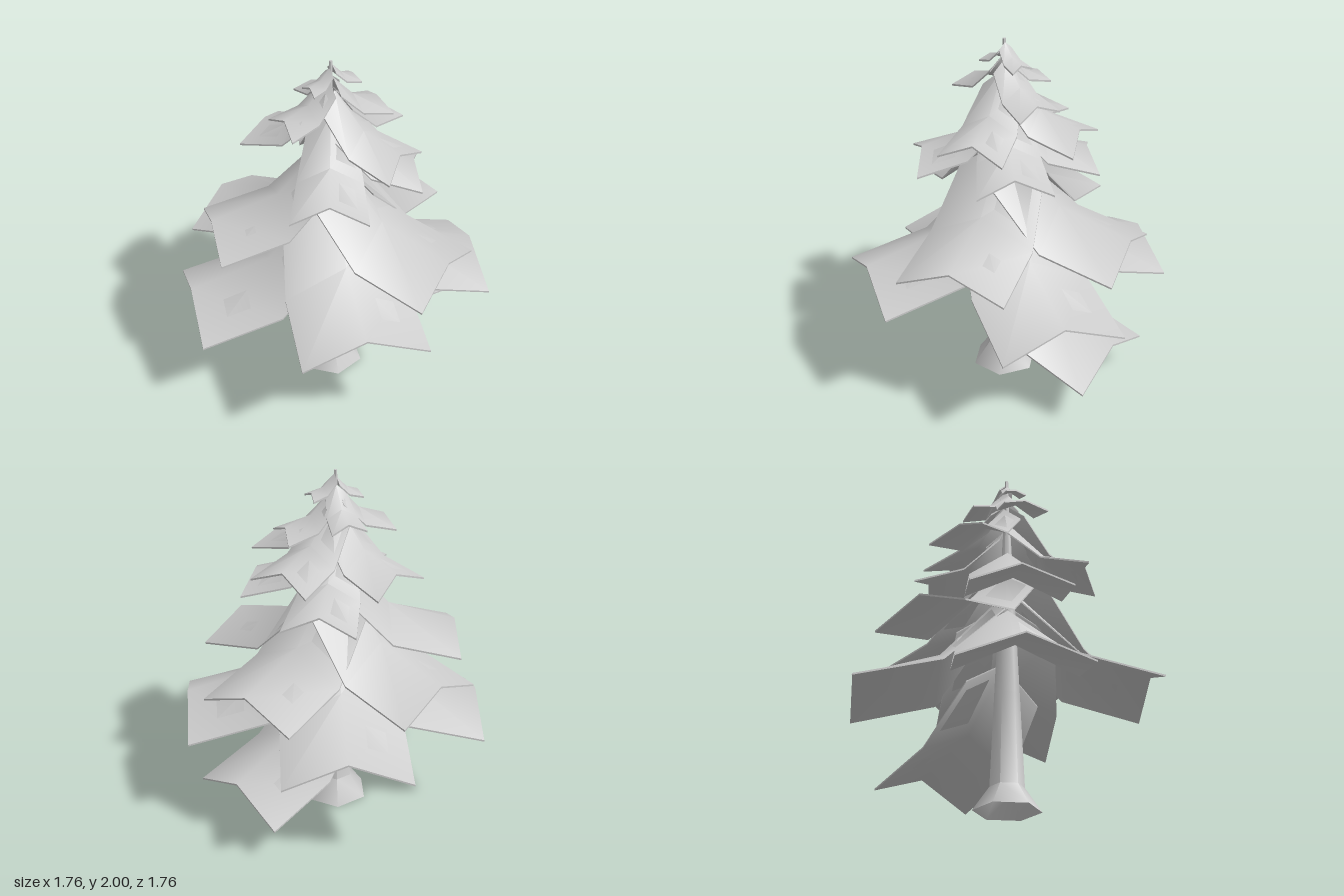
import * as THREE from 'three';
import { toCreasedNormals } from 'three/addons/utils/BufferGeometryUtils.js';

const CENTRE = 0.015; // trunk axis sits slightly off the middle in x and z
const material = new THREE.MeshStandardMaterial({ color: 0xcccccc, side: THREE.DoubleSide });

// Each bough: tip x, tip z, height of the tip corners, half width, extra downward pitch
const TIERS = {
  lowHangingBough: [[-0.06, -0.69, 0.21, 0.33, 0.1]],
  bottomBough: [
    [0.42, -0.71, 0.57, 0.345], [0.70, 0.42, 0.65, 0.345],
    [-0.385, 0.705, 0.515, 0.345], [-0.71, -0.40, 0.58, 0.345],
  ],
  secondBough: [
    [-0.685, 0.205, 0.845, 0.305], [0.71, -0.18, 0.85, 0.305],
    [-0.185, -0.69, 0.83, 0.305], [-0.315, 0.585, 0.995, 0.27],
  ],
  thirdBough: [[0.355, 0.355, 1.315, 0.205], [-0.33, -0.33, 1.275, 0.2], [0.35, -0.33, 1.315, 0.2]],
  fourthBough: [[-0.42, 0.13, 1.445, 0.19], [0.445, -0.105, 1.485, 0.18], [-0.11, -0.43, 1.475, 0.19]],
  fifthBough: [[-0.06, 0.30, 1.665, 0.13], [0.09, -0.28, 1.655, 0.13]],
  sixthBough: [[-0.21, -0.05, 1.73, 0.095]],
  topBough: [[-0.015, 0.145, 1.845, 0.062], [0.045, -0.13, 1.855, 0.065]],
};

// Thin roof-shaped plate: a ridged cross-section swept root -> middle -> tip along +z.
// Upper boughs are narrower at the trunk and have a notched tip.
function boughGeometry(R, w, pitch) {
  const h = 0.4 * w, t = 0.01, upper = w < 0.25;
  const [rootW, midW, notch] = upper ? [0.62, 0.86, 0.08 * R] : [0.8, 0.97, 0];
  const sections = [ // distance out, half width, edge height, ridge height, ridge setback
    [0.05 * R, rootW * w, 0.54 * R, h + 0.6 * R, 0],
    [0.44 * R, midW * w, 0.14 * R, h + 0.17 * R, 0],
    [R, w, 0, h, notch],
  ];
  const positions = [], index = [];
  for (const [z, half, edge, ridge, back] of sections) {
    const e = edge + pitch * (R - z), r = ridge + pitch * (R - z);
    positions.push(half, e + t, z, 0, r + t, z - back, -half, e + t, z,
      -half, e, z, 0, r, z - back, half, e, z);
  }
  for (let s = 0; s < 2; s++) {
    for (let i = 0; i < 6; i++) {
      const a = s * 6 + i, b = s * 6 + (i + 1) % 6;
      index.push(a, b + 6, b, a, a + 6, b + 6);
    }
  }
  // Closed ends
  index.push(0, 1, 4, 0, 4, 5, 1, 2, 3, 1, 3, 4);
  index.push(12, 16, 13, 12, 17, 16, 13, 15, 14, 13, 16, 15);
  const geometry = new THREE.BufferGeometry();
  geometry.setAttribute('position', new THREE.Float32BufferAttribute(positions, 3));
  geometry.setIndex(index);
  return toCreasedNormals(geometry, 1.0);
}

export function createModel() {
  const tree = new THREE.Group();
  tree.name = 'coniferTree';

  // Six-sided trunk with a flared, open foot, tapering to the tip
  const profile = [[0.185, 0], [0.094, 0.13], [0.07, 0.65], [0.045, 1.2], [0.011, 1.85], [0.009, 2], [0, 2]];
  const trunk = new THREE.Mesh(
    toCreasedNormals(new THREE.LatheGeometry(profile.map(([r, y]) => new THREE.Vector2(r, y)), 6), 1.1),
    material);
  trunk.name = 'trunk';
  trunk.position.set(CENTRE, 0, CENTRE);
  tree.add(trunk);

  // Boughs, tier by tier, each turned to face away from the trunk
  for (const [name, boughs] of Object.entries(TIERS)) {
    const tier = new THREE.Group();
    tier.name = name + 'Tier';
    for (const [x, z, y, halfWidth, pitch = 0] of boughs) {
      const dx = x - CENTRE, dz = z - CENTRE;
      const bough = new THREE.Mesh(boughGeometry(Math.hypot(dx, dz), halfWidth, pitch), material);
      bough.name = name;
      bough.position.set(CENTRE, y, CENTRE);
      bough.rotation.y = Math.atan2(dx, dz);
      tier.add(bough);
    }
    tree.add(tier);
  }
  return tree;
}
